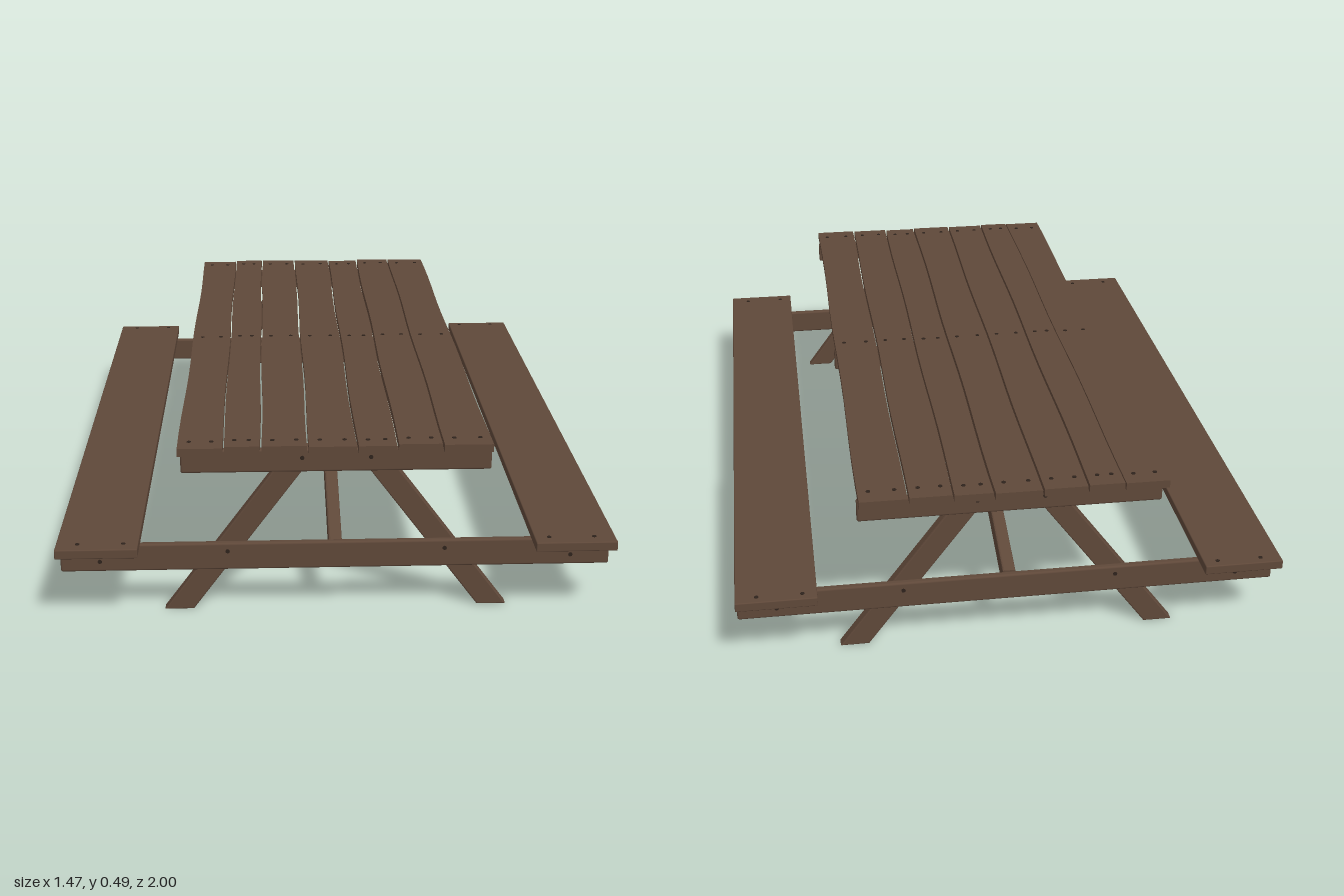
import * as THREE from 'three';
import { RoundedBoxGeometry } from 'three/addons/geometries/RoundedBoxGeometry.js';

const wood = new THREE.MeshStandardMaterial({ color: 0x5f4839 });
wood.name = 'brown wood';
const iron = new THREE.MeshStandardMaterial({ color: 0x2e231c });
iron.name = 'dark nail';

export function createModel() {
  const model = new THREE.Group();
  model.name = 'picnicTable';

  const add = (name, geometry, material = wood) => {
    const mesh = new THREE.Mesh(geometry, material);
    mesh.name = name;
    model.add(mesh);
    return mesh;
  };
  // Beam given by its min and max corners, with softened edges
  const beam = (name, x0, x1, y0, y1, z0, z1, r = 0.006) => {
    const mesh = add(name, new RoundedBoxGeometry(x1 - x0, y1 - y0, z1 - z0, 2, r));
    mesh.position.set((x0 + x1) / 2, (y0 + y1) / 2, (z0 + z1) / 2);
    return mesh;
  };
  // Nail head facing up, or along z when facing is +1 / -1
  const nailGeo = new THREE.CylinderGeometry(0.006, 0.006, 0.003, 8);
  const nail = (x, y, z, facing = 0) => {
    const mesh = add('nail', nailGeo, iron);
    mesh.position.set(x, y, z);
    mesh.rotation.x = (facing * Math.PI) / 2;
  };

  // Table top: seven planks of uneven width with slightly wavy edges
  const planks = [
    [-0.412, -0.298], [-0.294, -0.2], [-0.195, -0.077], [-0.072, 0.049],
    [0.054, 0.155], [0.16, 0.275], [0.28, 0.404],
  ];
  planks.forEach(([x0, x1], i) => {
    const lift = 0.001 * ((i * 3) % 4);
    const z0 = -0.968 - 0.002 * (i % 4);
    const z1 = 0.955 - 0.003 * (i % 3);
    const geo = new THREE.BoxGeometry(x1 - x0, 0.022, z1 - z0, 1, 1, 16);
    const p = geo.attributes.position;
    for (let k = 0; k < p.count; k++) {
      const x = p.getX(k);
      p.setX(k, x + 0.002 * Math.sin(p.getZ(k) * 7 + i * 2 + Math.sign(x)));
    }
    geo.computeVertexNormals();
    add('tablePlank', geo).position.set((x0 + x1) / 2, 0.479 + lift, (z0 + z1) / 2);
    for (const z of [-0.92, -0.01, 0.905])
      for (const x of [x0 + 0.028, x1 - 0.028]) nail(x, 0.49 + lift, z);
  });

  // Cross beams below the top: two ends and the middle
  beam('middleCrossBeam', -0.408, 0.408, 0.405, 0.469, -0.02, 0.006);

  // Leg outline, cut level at floor and top
  const legShape = new THREE.Shape([
    new THREE.Vector2(0.385, 0), new THREE.Vector2(0.463, 0),
    new THREE.Vector2(0.117, 0.468), new THREE.Vector2(0.039, 0.468),
  ]);
  const legGeo = new THREE.ExtrudeGeometry(legShape, {
    depth: 0.024, bevelEnabled: true, bevelThickness: 0.004, bevelSize: 0.004,
    bevelOffset: -0.004, bevelSegments: 2,
  });

  // Sloping brace outline in the (z, y) plane
  const braceShape = new THREE.Shape([
    new THREE.Vector2(0, 0.408), new THREE.Vector2(0.895, 0.142),
    new THREE.Vector2(0.895, 0.197), new THREE.Vector2(0, 0.465),
  ]);
  const braceGeo = new THREE.ExtrudeGeometry(braceShape, {
    depth: 0.026, bevelEnabled: true, bevelThickness: 0.005, bevelSize: 0.005,
    bevelOffset: -0.005, bevelSegments: 2,
  });

  for (const s of [1, -1]) {
    // End frames; the whole frame sits slightly further out at the back
    const outer = s > 0 ? 0.914 : 0.926;
    const za = Math.min(s * outer, s * (outer - 0.02));
    beam('endCrossBeam', -0.408, 0.408, 0.405, 0.469, za, za + 0.02);
    beam('benchRail', -0.735, 0.735, 0.126, 0.203, za, za + 0.02);

    for (const side of [1, -1]) {
      const leg = add('leg', legGeo);
      leg.rotation.y = side > 0 ? 0 : Math.PI;
      const inner = s > 0 ? outer - 0.052 : -outer + 0.02;
      leg.position.z = inner + (side > 0 ? 0.004 : 0.028);
      // Bolt heads on the end frames
      for (const [x, y] of [[0.09, 0.445], [0.29, 0.18], [0.63, 0.18], [0.63, 0.155]])
        nail(side * x, y, s * outer, s);
      // Bench fixings
      for (const x of [0.56, 0.68]) nail(side * x, 0.23, s * (outer + 0.05));
    }

    // Brace from the middle beam down to the bench rail
    const brace = add('brace', braceGeo);
    brace.rotation.y = (-s * Math.PI) / 2;
    brace.position.x = s * 0.013 - 0.002;
  }

  // Benches with a bearer running beneath each seat
  for (const side of [1, -1]) {
    const bench = beam('benchSeat', -0.1075, 0.1075, 0.204, 0.23, -1, 1, 0.003);
    bench.position.x = side * 0.629;
    const bearer = beam('benchBearer', -0.032, 0.032, 0.13, 0.205, -0.91, 0.9, 0.012);
    bearer.position.x = side * 0.629;
  }

  return model;
}
